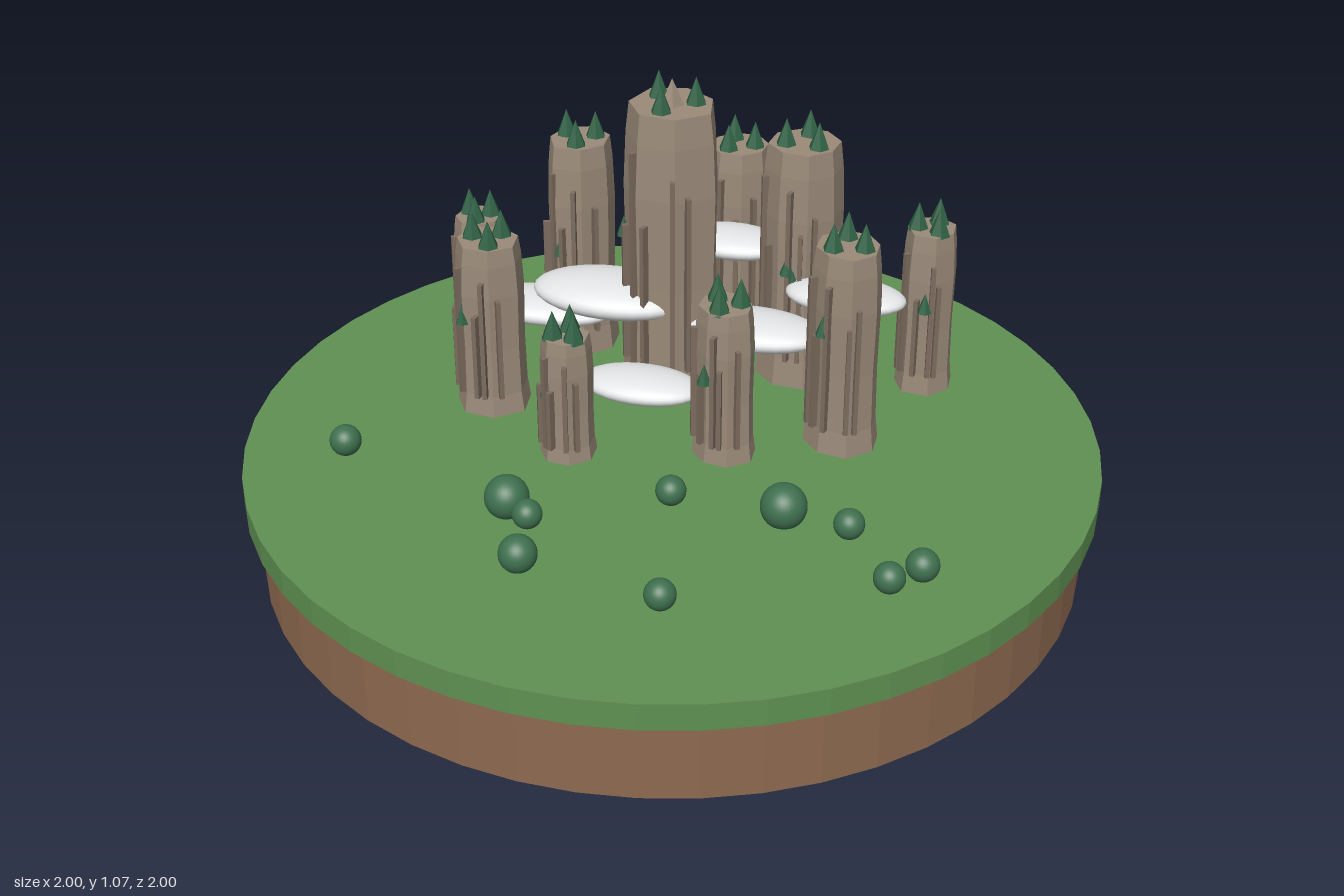
import * as THREE from 'three';

const mat = (name, color) => {
  const m = new THREE.MeshStandardMaterial({ color });
  m.name = name;
  return m;
};

// Facet normals for low-poly parts
function faceted(geometry) {
  const g = geometry.index ? geometry.toNonIndexed() : geometry;
  g.computeVertexNormals();
  return g;
}

export function createModel() {
  const soil = mat('soil brown', 0x8e6a50);
  const grass = mat('grass green', 0x5f9152);
  const rock = mat('sandstone', 0x9a8a79);
  const darkRock = mat('crevice rock', 0x7c6c5e);
  const pine = mat('pine green', 0x2f6144);
  const bushGreen = mat('bush green', 0x3f704f);
  const cloudWhite = mat('mist white', 0xe4e5e6);

  const model = new THREE.Group();
  model.name = 'pillarMountainIsland';
  const add = (parent, name, geometry, material, x, y, z) => {
    const mesh = new THREE.Mesh(geometry, material);
    mesh.name = name;
    mesh.position.set(x, y, z);
    parent.add(mesh);
    return mesh;
  };

  // Round base
  const ground = 0.265;
  add(model, 'soilDisc', faceted(new THREE.CylinderGeometry(0.97, 0.97, 0.2, 48)), soil, 0, 0.1, 0);
  add(model, 'grassDisc', faceted(new THREE.CylinderGeometry(1, 1, 0.065, 48)), grass, 0, 0.2325, 0);

  const treeGeometry = faceted(new THREE.ConeGeometry(0.027, 0.07, 6));
  const smallTreeGeometry = faceted(new THREE.ConeGeometry(0.018, 0.05, 6));

  // Rock column: relative radius and height up the profile, with uneven sides
  const profile = [[1.06, 0], [0.98, 0.12], [0.95, 0.4], [0.98, 0.72], [0.93, 0.9], [0.86, 1], [0, 1]];
  function columnGeometry(r, h, sides, seed) {
    const points = profile.map(([pr, ph]) => new THREE.Vector2(pr * r, ph * h));
    const g = new THREE.LatheGeometry(points, sides);
    const p = g.attributes.position;
    for (let i = 0; i < p.count; i++) {
      const a = Math.atan2(p.getZ(i), p.getX(i));
      const k = 1 + 0.04 * Math.sin(2 * a + seed) + 0.025 * Math.sin(3 * a + seed * 2);
      p.setX(i, p.getX(i) * k);
      p.setZ(i, p.getZ(i) * k);
    }
    return faceted(g);
  }

  // Pillars: x, z, radius, top height
  const pillars = [
    [0.015, -0.255, 0.118, 1.0], [0.33, -0.29, 0.097, 0.88],
    [-0.197, -0.48, 0.088, 0.82], [0.395, 0.035, 0.087, 0.77],
    [-0.42, -0.185, 0.084, 0.7], [0.2, -0.555, 0.084, 0.76],
    [0.63, -0.215, 0.07, 0.685], [0.117, 0.075, 0.072, 0.65],
    [-0.245, 0.06, 0.062, 0.575], [-0.45, -0.5, 0.065, 0.61],
  ];
  pillars.forEach(([x, z, r, top], i) => {
    const h = top - ground;
    const pillar = new THREE.Group();
    pillar.name = 'rockPillar' + (i + 1);
    pillar.position.set(x, ground, z);
    model.add(pillar);
    add(pillar, 'column', columnGeometry(r, h, 7 + (i % 2), i * 1.7), rock, 0, 0, 0);

    // Upright ridges on the front and right flanks
    for (let k = 0; k < 5; k++) {
      const a = 1.3 + k * 0.42 + 0.12 * Math.sin(i * 2.3 + k * 4.1);
      const len = h * (0.62 + 0.14 * Math.sin(i * 3.1 + k * 2.7));
      const ridge = add(pillar, 'ridge', new THREE.BoxGeometry(0.02, len, 0.011), darkRock,
        Math.cos(a) * r * 0.96, h * 0.12 + len / 2, Math.sin(a) * r * 0.96);
      ridge.rotation.y = -a;
    }

    // Three pines on the summit
    for (let k = 0; k < 3; k++) {
      const a = i * 0.9 + (k * Math.PI * 2) / 3;
      add(pillar, 'summitPine', treeGeometry, pine,
        Math.cos(a) * r * 0.47, h + 0.03, Math.sin(a) * r * 0.47);
    }
  });

  // Small rock peak on the tallest pillar
  add(model, 'rockPeak', faceted(new THREE.ConeGeometry(0.03, 0.065, 5)), rock, 0.015, 1.03, -0.255);

  // Pines clinging to the cliffs: x, y, z
  [
    [-0.1, 0.7, -0.24], [0.285, 0.6, -0.205], [0.3, 0.56, -0.2], [-0.485, 0.53, -0.14],
    [-0.29, 0.46, 0.09], [0.61, 0.52, -0.145], [0.065, 0.5, 0.125], [-0.5, 0.5, -0.46],
    [-0.25, 0.56, -0.42], [0.335, 0.6, 0.095],
  ].forEach(([x, y, z]) => add(model, 'cliffPine', smallTreeGeometry, pine, x, y, z));

  // Flat drifting clouds: x, y, z, half length, half width
  const ball = new THREE.SphereGeometry(1, 28, 18);
  [
    [-0.3, 0.44, -0.34, 0.18, 0.085], [-0.13, 0.505, -0.27, 0.195, 0.11],
    [0.17, 0.58, -0.38, 0.14, 0.08], [0.2, 0.46, -0.15, 0.175, 0.092],
    [0.42, 0.545, -0.145, 0.145, 0.08], [-0.07, 0.39, -0.025, 0.145, 0.08],
  ].forEach(([x, y, z, l, w]) => {
    const cloud = add(model, 'cloud', ball, cloudWhite, x, y, z);
    cloud.scale.set(l, w * 0.42, w);
    cloud.rotation.y = -0.33;
  });

  // Round bushes on the meadow: x, z, radius
  [
    [-0.76, 0.04, 0.037], [-0.385, 0.3, 0.051], [-0.34, 0.37, 0.034], [-0.36, 0.52, 0.043],
    [-0.02, 0.295, 0.035], [0.225, 0.372, 0.053], [0.36, 0.45, 0.035], [0.418, 0.653, 0.035],
    [0.495, 0.612, 0.037], [-0.065, 0.684, 0.035],
  ].forEach(([x, z, r]) => {
    const bush = add(model, 'bush', ball, bushGreen, x, 0.302, z);
    bush.scale.setScalar(r);
  });

  return model;
}
